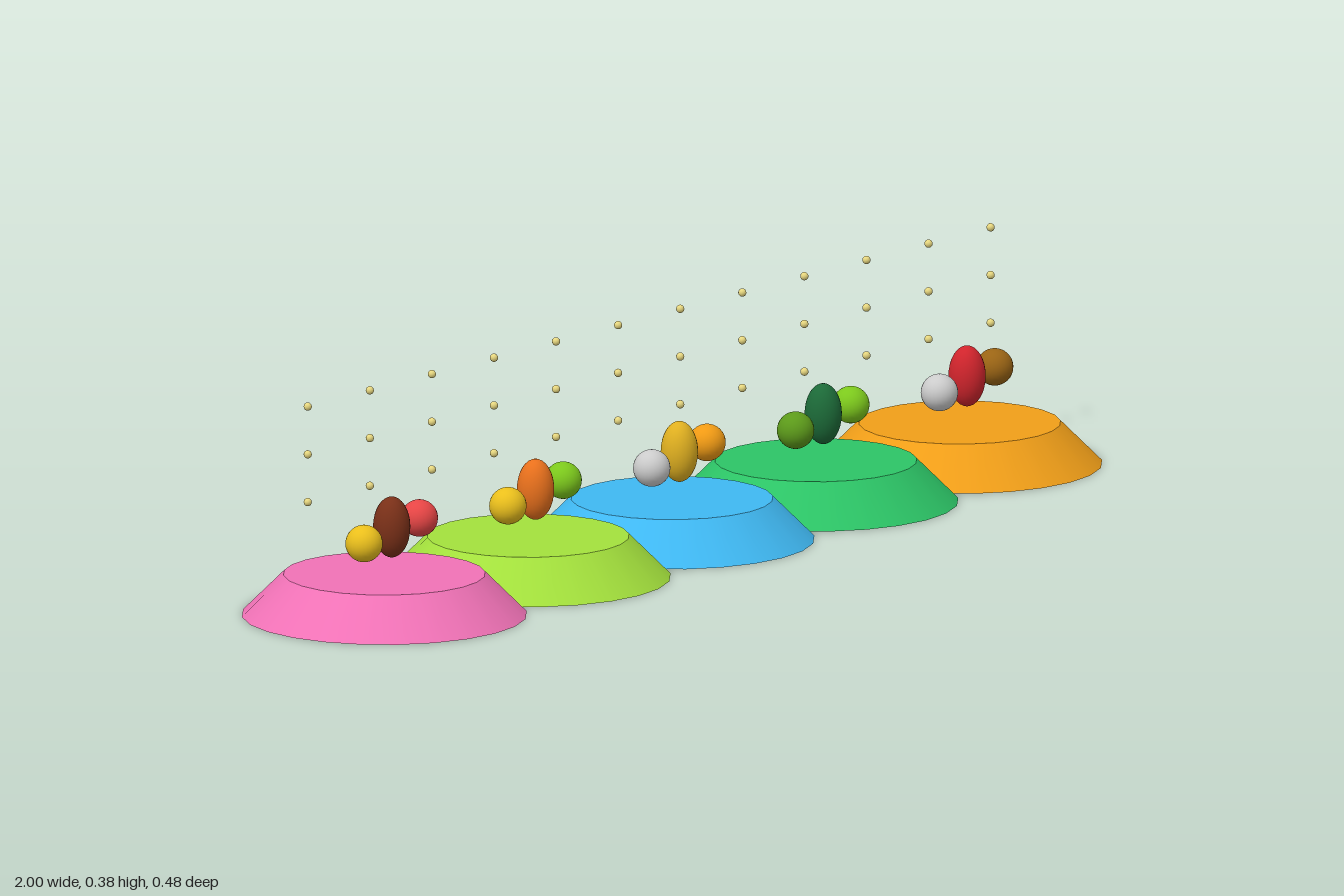
import * as THREE from 'three';

const material = (color) => new THREE.MeshStandardMaterial({ color });

// Each dish: base colour, then its left, middle and right morsel colours
const DISHES = [
  { base: 0xf072b6, food: [0xeabf1c, 0x7a3018, 0xe64545] },
  { base: 0xa3e03c, food: [0xeabf1c, 0xe8701c, 0x7cc81c] },
  { base: 0x3fb8f2, food: [0xf2f2f2, 0xe0b020, 0xf09a14] },
  { base: 0x2cc466, food: [0x5c9a1a, 0x1c6a38, 0x7cc81c] },
  { base: 0xf09e18, food: [0xf2f2f2, 0xd0242c, 0x9a6414] },
];

// Morsel placement on a dish: x, y and vertical stretch
const MORSELS = [
  { name: 'leftMorsel', x: -0.073, y: 0.136, stretch: 1 },
  { name: 'middleMorsel', x: 0, y: 0.152, stretch: 1.65 },
  { name: 'rightMorsel', x: 0.073, y: 0.155, stretch: 1 },
];

export function createModel() {
  const model = new THREE.Group();
  model.name = 'dishRow';

  const baseGeometry = new THREE.CylinderGeometry(0.17, 0.24, 0.07, 24);
  const morselGeometry = new THREE.SphereGeometry(0.0315, 24, 16);
  const beadGeometry = new THREE.SphereGeometry(0.007, 12, 8);

  // Five overlapping tapered dishes, each with three floating morsels
  DISHES.forEach(({ base, food }, i) => {
    const dish = new THREE.Group();
    dish.name = 'dish';
    dish.position.x = (i - 2) * 0.38;

    const plate = new THREE.Mesh(baseGeometry, material(base));
    plate.name = 'dishBase';
    plate.position.y = 0.035;
    dish.add(plate);

    MORSELS.forEach(({ name, x, y, stretch }, k) => {
      const morsel = new THREE.Mesh(morselGeometry, material(food[k]));
      morsel.name = name;
      morsel.position.set(x, y, 0.016);
      morsel.scale.y = stretch;
      dish.add(morsel);
    });
    model.add(dish);
  });

  // Twelve hanging strands of three small beads behind the food
  const beadMaterial = material(0xe8d880);
  for (let i = 0; i < 12; i++) {
    const strand = new THREE.Group();
    strand.name = 'beadStrand';
    strand.position.set(-0.91 + i * 0.164, 0, -0.043);
    for (let j = 0; j < 3; j++) {
      const bead = new THREE.Mesh(beadGeometry, beadMaterial);
      bead.name = 'bead';
      bead.position.y = 0.212 + j * 0.082;
      strand.add(bead);
    }
    model.add(strand);
  }
  return model;
}
